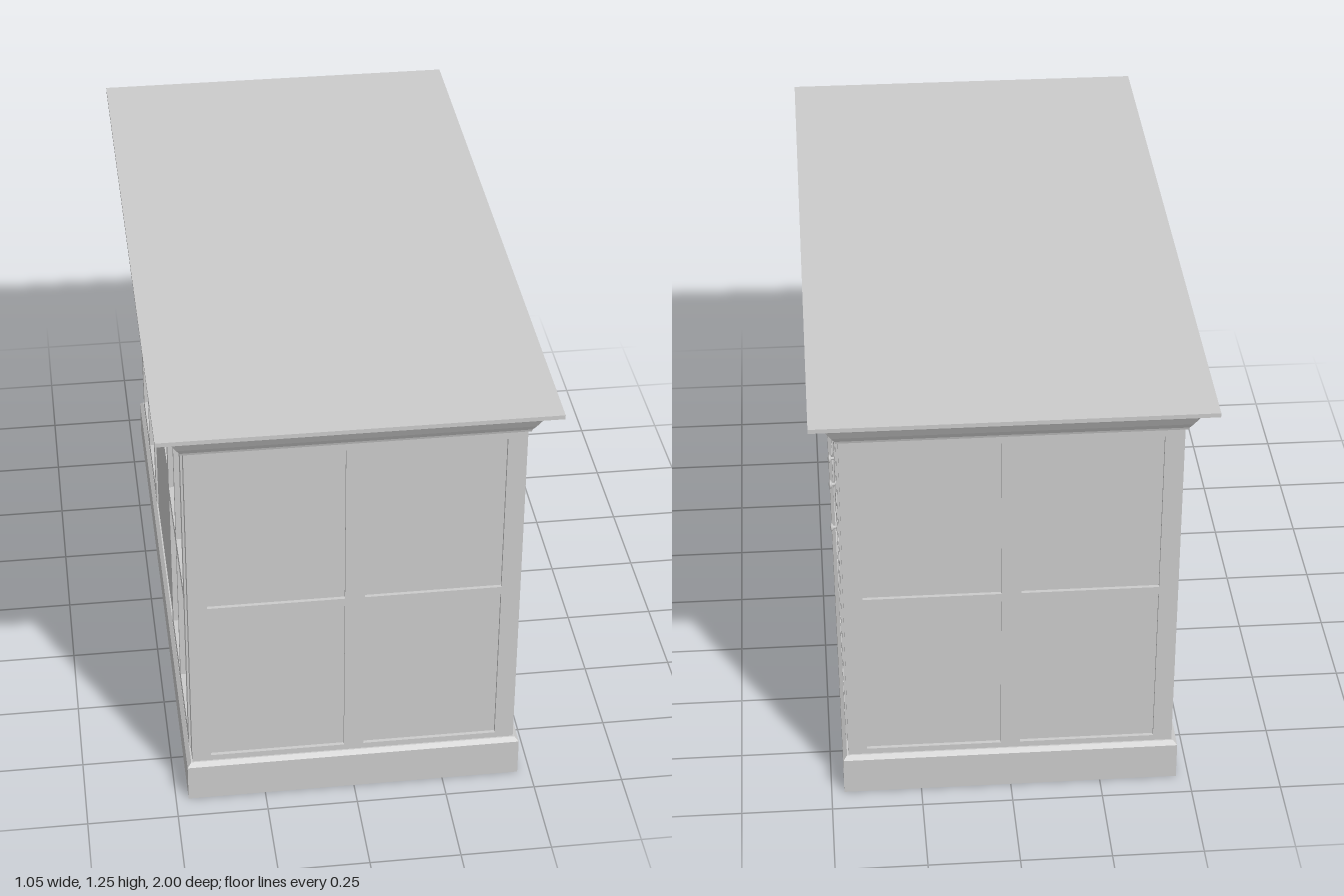
import * as THREE from 'three';

const material = new THREE.MeshStandardMaterial({ color: 0xcccccc });

function add(parent, name, geometry, x = 0, y = 0, z = 0) {
  const mesh = new THREE.Mesh(geometry, material);
  mesh.name = name;
  mesh.position.set(x, y, z);
  parent.add(mesh);
  return mesh;
}

// Rectangles are [x0, x1, y0, y1]
function trace(path, [x0, x1, y0, y1]) {
  path.moveTo(x0, y0);
  path.lineTo(x1, y0);
  path.lineTo(x1, y1);
  path.lineTo(x0, y1);
  path.closePath();
  return path;
}

// Flat board with rectangular cut-outs, extruded along +z
function board(outer, holes, depth) {
  const shape = trace(new THREE.Shape(), outer);
  holes.forEach((h) => shape.holes.push(trace(new THREE.Path(), h)));
  return new THREE.ExtrudeGeometry(shape, { depth, bevelEnabled: false });
}

// Mitred moulding: profile points [projection, y] swept round a rectangle, capped at both ends
function moulding(hx, hz, profile) {
  const pos = [];
  const ring = ([d, y]) => [[1, 1], [1, -1], [-1, -1], [-1, 1]].map(([a, b]) => [a * (hx + d), y, b * (hz + d)]);
  const quad = (a, b, c, d) => pos.push(...a, ...b, ...c, ...a, ...c, ...d);
  const rings = profile.map(ring);
  for (let i = 0; i < rings.length - 1; i++) {
    for (let j = 0; j < 4; j++) {
      const k = (j + 1) % 4;
      quad(rings[i][j], rings[i][k], rings[i + 1][k], rings[i + 1][j]);
    }
  }
  const [a, b, c, d] = rings[0];
  quad(d, c, b, a);
  quad(...rings[rings.length - 1]);
  const geometry = new THREE.BufferGeometry();
  geometry.setAttribute('position', new THREE.Float32BufferAttribute(pos, 3));
  geometry.computeVertexNormals();
  return geometry;
}

const CORE_X = 0.44, CORE_Z = 0.905;
const OPENING = [-0.292, 0.292, 0.65, 1.125];

// Turned knob pointing along +z
const knobProfile = [[0.008, 0], [0.005, 0.003], [0.004, 0.011], [0.011, 0.014],
  [0.013, 0.017], [0.011, 0.020], [0, 0.022]].map(([r, y]) => new THREE.Vector2(r, y));
const knobGeometry = new THREE.LatheGeometry(knobProfile, 20).rotateX(Math.PI / 2);

// One long side, drawn facing +z with its surface at z = 0.45
function createLongSide(name, withDrawers) {
  const side = new THREE.Group();
  side.name = name;

  // Face frame around doors and central bay
  add(side, 'faceFrame', board([-0.915, 0.915, 0.11, 1.16], [
    [-0.874, -0.299, 0.136, 1.129],
    [-0.292, 0.292, 0.136, 1.125],
    [0.299, 0.874, 0.136, 1.129],
  ], 0.01), 0, 0, CORE_X);

  // Framed doors, each with four sunken panels
  for (const s of [-1, 1]) {
    const holes = [];
    for (const [a, b] of [[0.35, 0.575], [0.602, 0.828]]) {
      for (const [y0, y1] of [[0.18, 0.62], [0.655, 1.09]]) {
        holes.push([Math.min(s * a, s * b), Math.max(s * a, s * b), y0, y1]);
      }
    }
    const outer = s > 0 ? [0.304, 0.87, 0.14, 1.125] : [-0.87, -0.304, 0.14, 1.125];
    add(side, 'door', board(outer, holes, 0.015), 0, 0, CORE_X);
    if (withDrawers) add(side, 'doorKnob', knobGeometry, s * 0.336, 0.635, 0.452);
  }

  // Drawers on one side, a plain panel on the other
  const fronts = withDrawers ? [[0.14, 0.39], [0.397, 0.65]] : [[0.14, 0.65]];
  for (const [y0, y1] of fronts) {
    add(side, withDrawers ? 'drawerFront' : 'plainPanel',
      board([-0.287, 0.287, y0, y1], [], 0.011), 0, 0, CORE_X);
  }
  if (withDrawers) {
    for (const y of [0.255, 0.503]) add(side, 'drawerKnob', knobGeometry, 0, y, 0.45);
  }
  return side;
}

export function createModel() {
  const model = new THREE.Group();
  model.name = 'kitchenIsland';

  // Carcass with an opening right through it
  const carcass = board([-CORE_Z, CORE_Z, 0.1, 1.16], [OPENING], CORE_X * 2);
  carcass.translate(0, 0, -CORE_X).rotateY(Math.PI / 2);
  add(model, 'carcass', carcass);

  // Long sides
  const right = createLongSide('drawerSide', true);
  right.rotation.y = Math.PI / 2;
  const left = createLongSide('plainSide', false);
  left.rotation.y = -Math.PI / 2;
  model.add(right, left);

  // End frames, each with four sunken panels
  const endHoles = [];
  for (const [x0, x1] of [[-0.398, -0.027], [0.027, 0.398]]) {
    for (const [y0, y1] of [[0.138, 0.622], [0.646, 1.126]]) endHoles.push([x0, x1, y0, y1]);
  }
  const endGeometry = board([-0.45, 0.45, 0.11, 1.16], endHoles, 0.01);
  ['frontFrame', 'backFrame'].forEach((name, i) => {
    const end = new THREE.Group();
    end.name = name;
    add(end, 'panelFrame', endGeometry, 0, 0, CORE_Z);
    end.rotation.y = i * Math.PI;
    model.add(end);
  });

  // Plinth, crown moulding and worktop
  add(model, 'plinth', moulding(0.45, 0.915, [[0.015, 0], [0.015, 0.11], [0.004, 0.121]]));
  add(model, 'crownMoulding', moulding(0.45, 0.915, [
    [0.002, 1.148], [0.007, 1.15], [0.009, 1.157], [0.018, 1.172], [0.03, 1.195],
    [0.042, 1.217], [0.05, 1.226], [0.06, 1.234],
  ]));
  add(model, 'worktop', new THREE.BoxGeometry(1.052, 0.012, 2), 0, 1.239, 0);
  return model;
}
